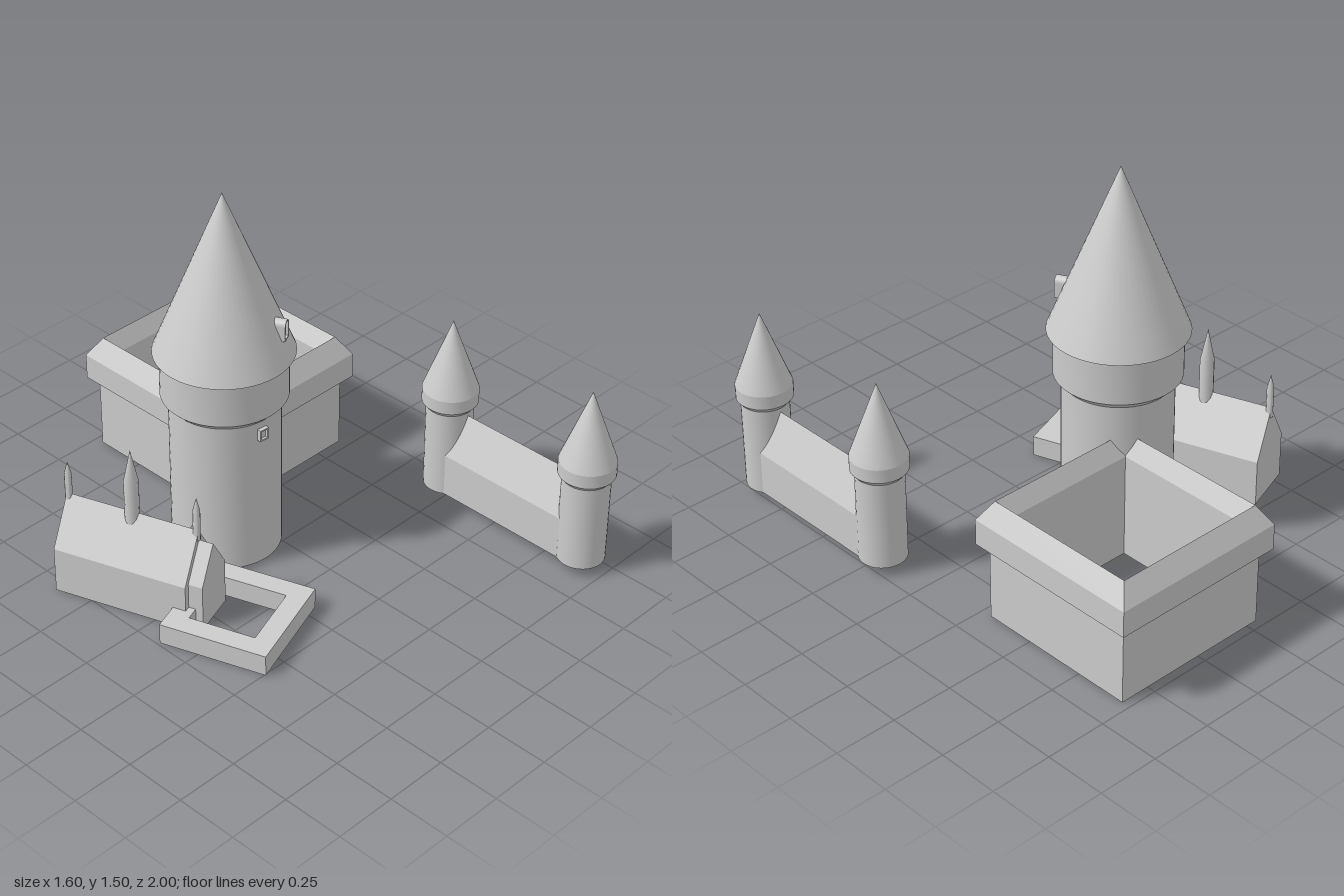
import * as THREE from 'three';
import { toCreasedNormals } from 'three/addons/utils/BufferGeometryUtils.js';

const material = new THREE.MeshStandardMaterial({ color: 0xcccccc });

function mesh(name, geometry, x = 0, y = 0, z = 0) {
  const m = new THREE.Mesh(geometry, material);
  m.name = name;
  m.position.set(x, y, z);
  return m;
}

function group(name, ...parts) {
  const g = new THREE.Group();
  g.name = name;
  g.add(...parts);
  return g;
}

// Round part from [radius, height] pairs, listed bottom to top
function turned(profile, sides) {
  const points = profile.map(([r, y]) => new THREE.Vector2(r, y));
  return toCreasedNormals(new THREE.LatheGeometry(points, sides), 0.5 + 2 / sides);
}

// Square ring swept from a closed [half width, height] section
function squareRing(section) {
  const points = [...section, section[0]].map(([h, y]) => new THREE.Vector2(h * Math.SQRT2, y));
  return toCreasedNormals(new THREE.LatheGeometry(points, 4, Math.PI / 4), 0.2);
}

// House-shaped prism, ridge along z from z0 to z1
function gabled(half, eave, ridge, z0, z1) {
  const shape = new THREE.Shape();
  shape.moveTo(-half, 0);
  shape.lineTo(half, 0);
  shape.lineTo(half, eave);
  shape.lineTo(0, ridge);
  shape.lineTo(-half, eave);
  return new THREE.ExtrudeGeometry(shape, { depth: z1 - z0, bevelEnabled: false }).translate(0, 0, z0);
}

// Window outline, arched or square-headed
function outline(path, half, bottom, top, arched) {
  path.moveTo(-half, bottom);
  path.lineTo(half, bottom);
  path.lineTo(half, top);
  if (arched) path.absarc(0, top, half, 0, Math.PI, false);
  else path.lineTo(-half, top);
  path.closePath();
  return path;
}

// Projecting window frame with a recessed pane; it faces +z before turning
function windowFrame(name, half, height, rim, arched, depth) {
  const shape = outline(new THREE.Shape(), half, 0, height, arched);
  shape.holes.push(outline(new THREE.Path(), half - rim, rim, arched ? height : height - rim, arched));
  const frame = new THREE.ExtrudeGeometry(shape, { depth, bevelEnabled: false, curveSegments: 8 });
  const pane = outline(new THREE.Shape(), half - rim / 2, rim / 2, height - rim / 2, arched);
  return group(name, mesh('frame', frame), mesh('pane', new THREE.ShapeGeometry(pane, 8), 0, 0, depth * 0.7));
}

function placeAround(part, angle, radius, y) {
  part.position.set(Math.sin(angle) * radius, y, Math.cos(angle) * radius);
  part.rotation.y = angle;
  return part;
}

function greatTower() {
  const tower = group('greatTower',
    mesh('towerShaft', turned([[0, 0], [0.21, 0], [0.21, 0.64], [0.24, 0.67], [0.24, 0.85]], 48)),
    mesh('towerRoof', turned([[0, 0.85], [0.265, 0.85], [0, 1.505]], 48)),
    placeAround(windowFrame('roofWindow', 0.022, 0.06, 0.006, true, 0.06), 0.47, 0.18, 0.94),
    placeAround(windowFrame('shaftWindow', 0.02, 0.048, 0.006, false, 0.035), -0.08, 0.19, 0.563));
  tower.position.set(-0.12, 0, -0.18);
  return tower;
}

function courtyardBuilding() {
  const walls = squareRing([[0.28, 0], [0.335, 0], [0.335, 0.3], [0.28, 0.3]]);
  const roof = squareRing([[0.28, 0.295], [0.335, 0.295], [0.37, 0.315], [0.37, 0.42], [0.32, 0.5], [0.28, 0.43]]);
  const building = group('courtyardBuilding', mesh('courtyardWalls', walls), mesh('courtyardRoof', roof));
  building.position.set(0.287, 0, -0.63);
  return building;
}

function gatehouse() {
  const gate = group('gatehouse', mesh('gateWall', gabled(0.077, 0.18, 0.35, -0.335, 0.335)));
  for (const side of [-1, 1]) {
    const z = side * 0.335;
    gate.add(
      mesh('gateTower', turned([[0, 0], [0.093, 0], [0.093, 0.365], [0.11, 0.385], [0.11, 0.44]], 32), 0, 0, z),
      mesh('gateTowerRoof', turned([[0.11, 0.44], [0, 0.74]], 32), 0, 0, z));
  }
  gate.position.set(0.69, 0.04, 0.555);
  return gate;
}

function hall() {
  const link = mesh('linkPassage', gabled(0.045, 0.11, 0.19, 0.08, 0.27), 0, 0, 0.125);
  link.rotation.y = Math.PI / 2;
  const yard = squareRing([[0.132, 0], [0.212, 0], [0.212, 0.085], [0.132, 0.085]]);
  const g = group('hall',
    mesh('hallBody', gabled(0.117, 0.19, 0.372, -0.27, 0.27)),
    mesh('porch', gabled(0.092, 0.19, 0.33, 0.2, 0.327)),
    link,
    mesh('yardWall', yard, -0.013, 0, 0.43));

  // Spires along the ridge: z, radius, base, shoulder, tip
  for (const [z, r, base, shoulder, tip] of [
    [-0.262, 0.014, 0.33, 0.46, 0.515],
    [0, 0.028, 0.32, 0.51, 0.645],
    [0.262, 0.014, 0.33, 0.46, 0.515],
  ]) {
    g.add(mesh('spire', turned([[0, base], [r, base], [r, shoulder], [0, tip]], 12), 0, 0, z));
  }
  g.position.set(-0.6, 0, -0.175);
  g.rotation.y = 0.34;
  return g;
}

export function createModel() {
  return group('castle', greatTower(), courtyardBuilding(), gatehouse(), hall());
}
